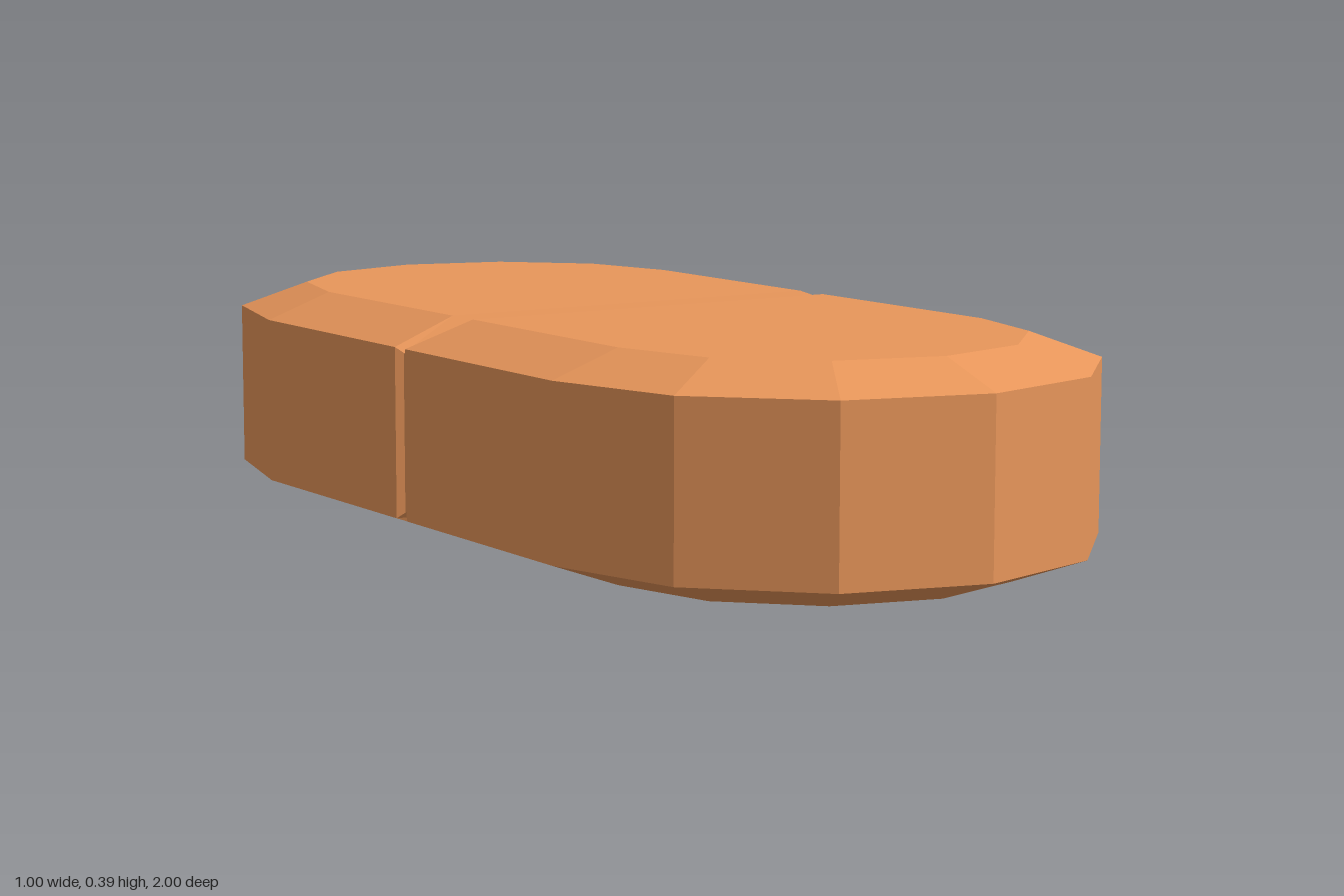
import * as THREE from 'three';

const H = 0.39, BEVEL = 0.045;

// Half-stadium outline, from the left groove corner around the end to the right one
function outline(r, zCut, y) {
  const pts = [new THREE.Vector3(r, y, zCut)];
  for (let i = 0; i <= 6; i++) {
    const a = (i / 6) * Math.PI;
    pts.push(new THREE.Vector3(r * Math.cos(a), y, 0.5 + r * Math.sin(a)));
  }
  pts.push(new THREE.Vector3(-r, y, zCut));
  return pts;
}

// Eight-cornered section across the tablet, used for the groove
function section(xIn, xOut, yIn, yOut, zIn, zOut) {
  const p = (x, y, z) => new THREE.Vector3(x, y, z);
  return [
    p(xIn, H - yIn, zIn), p(xOut, H - yOut, zOut), p(xOut, yOut, zOut), p(xIn, yIn, zIn),
    p(-xIn, yIn, zIn), p(-xOut, yOut, zOut), p(-xOut, H - yOut, zOut), p(-xIn, H - yIn, zIn),
  ];
}

function halfGeometry() {
  const pos = [];
  const tri = (...v) => v.forEach((p) => pos.push(p.x, p.y, p.z));
  const quad = (a, b, c, d) => { tri(a, b, c); tri(a, c, d); };

  // Bevelled wall, built from outlines stacked upwards
  const rings = [
    outline(0.375, 0.035, 0), outline(0.5, 0.018, BEVEL),
    outline(0.5, 0.018, H - BEVEL), outline(0.375, 0.035, H),
  ];
  for (let k = 0; k < 3; k++) {
    const lo = rings[k], hi = rings[k + 1];
    for (let i = 0; i < lo.length - 1; i++) quad(lo[i], hi[i], hi[i + 1], lo[i + 1]);
  }

  // Flat top and bottom faces
  const bottom = rings[0], top = rings[3];
  for (let i = 1; i < top.length - 1; i++) {
    tri(top[0], top[i + 1], top[i]);
    tri(bottom[0], bottom[i], bottom[i + 1]);
  }

  // Groove wall stepping in to the narrow waist at z = 0
  const steps = [
    section(0.375, 0.5, 0, BEVEL, 0.035, 0.018),
    section(0.375, 0.487, 0.045, 0.055, 0.014, 0.01),
    section(0.375, 0.485, 0.055, 0.06, 0, 0),
  ];
  for (let k = 0; k < 2; k++) {
    for (let i = 0; i < 8; i++) {
      const j = (i + 1) % 8;
      quad(steps[k][i], steps[k][j], steps[k + 1][j], steps[k + 1][i]);
    }
  }

  const geo = new THREE.BufferGeometry();
  geo.setAttribute('position', new THREE.Float32BufferAttribute(pos, 3));
  geo.computeVertexNormals();
  return geo;
}

export function createModel() {
  const group = new THREE.Group();
  group.name = 'tablet';
  const material = new THREE.MeshStandardMaterial({ color: 0xe8965a, flatShading: true, side: THREE.DoubleSide });
  const geo = halfGeometry();

  // Two identical halves meeting at the groove
  ['frontHalf', 'backHalf'].forEach((name, i) => {
    const half = new THREE.Mesh(geo, material);
    half.name = name;
    half.rotation.y = i * Math.PI;
    group.add(half);
  });
  return group;
}
